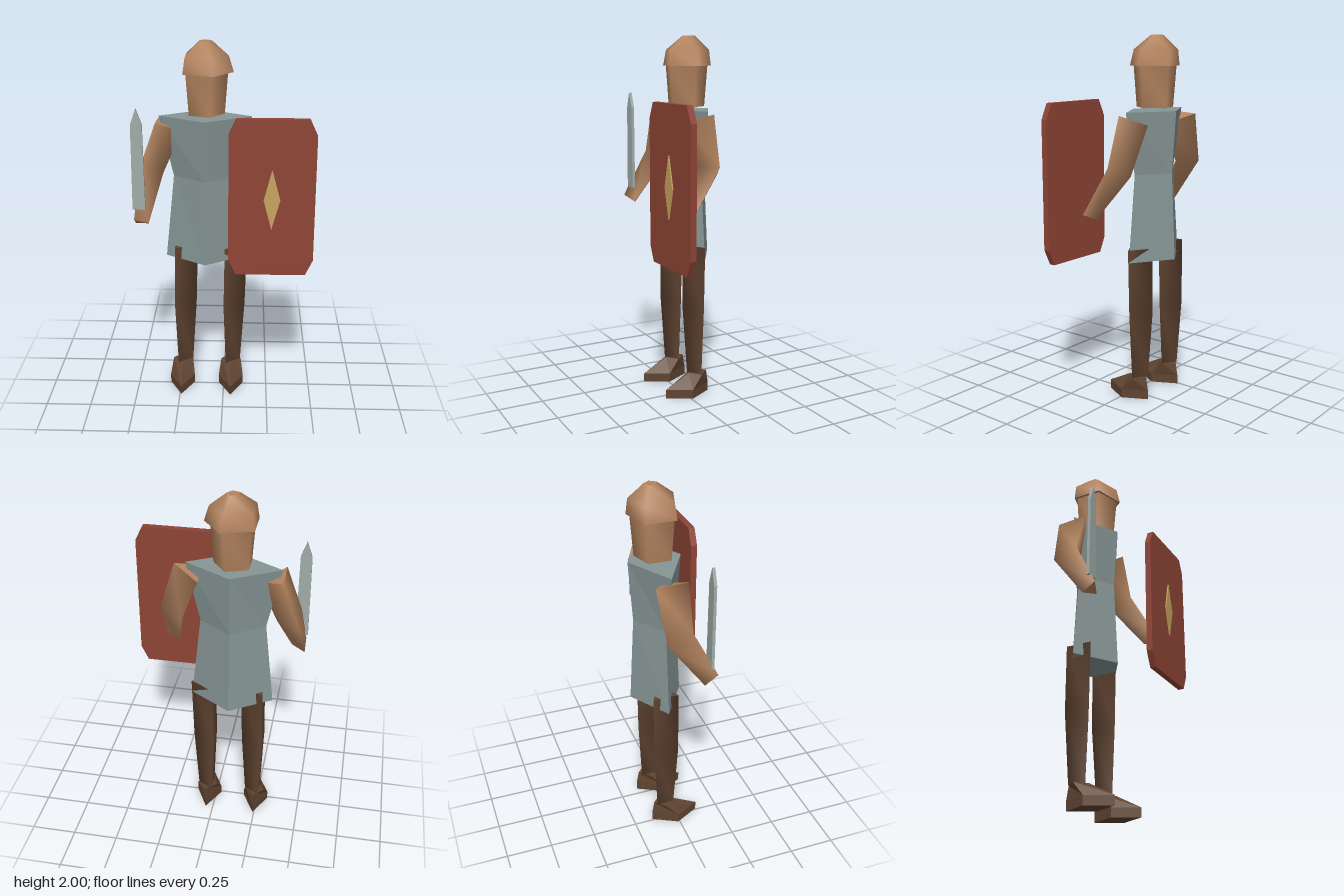
import * as THREE from 'three';

const mat = (name, color) => {
  const m = new THREE.MeshStandardMaterial({ color });
  m.name = name;
  return m;
};
const V = (x, y, z) => new THREE.Vector3(x, y, z);

// Closed solid through rings of points, listed from top to bottom
function loft(rings, flat) {
  const n = rings[0].length, last = rings.length - 1, pos = [], idx = [];
  rings.forEach(r => r.forEach(p => pos.push(p.x, p.y, p.z)));
  for (let j = 0; j < last; j++) {
    for (let i = 0; i < n; i++) {
      const k = (i + 1) % n, a = j * n + i, b = j * n + k;
      idx.push(a, b, a + n, b, b + n, a + n);
    }
  }
  // caps have their own corners so their edges stay sharp
  [0, last].forEach(j => {
    const start = pos.length / 3;
    rings[j].forEach(p => pos.push(p.x, p.y, p.z));
    for (let i = 1; i < n - 1; i++) {
      if (j === 0) idx.push(start, start + i + 1, start + i);
      else idx.push(start, start + i, start + i + 1);
    }
  });
  let g = new THREE.BufferGeometry();
  g.setAttribute('position', new THREE.Float32BufferAttribute(pos, 3));
  g.setIndex(idx);
  if (flat) g = g.toNonIndexed();
  g.computeVertexNormals();
  return g;
}

// Horizontal ring with its first corner towards +x
function ring(n, x, y, z, rx, rz = rx) {
  return Array.from({ length: n }, (_, i) => {
    const a = i * 2 * Math.PI / n;
    return V(x + rx * Math.cos(a), y, z + rz * Math.sin(a));
  });
}

// Three-sided limb whose rings lie square to its path
function limb(points, radii) {
  const rings = points.map((p, i) => {
    const before = points[Math.max(i - 1, 0)];
    const after = points[Math.min(i + 1, points.length - 1)];
    const d = after.clone().sub(before).normalize();
    const u = V(1, 0, 0).addScaledVector(d, -d.x).normalize();
    const v = d.clone().cross(u);
    return [0, 1, 2].map(k => {
      const a = k * 2 * Math.PI / 3;
      return p.clone()
        .addScaledVector(u, radii[i] * Math.cos(a))
        .addScaledVector(v, radii[i] * Math.sin(a));
    });
  });
  return loft(rings, false);
}

// Flat outline given thickness from z0 to z1
function plate(outline, z0, z1) {
  const shape = new THREE.Shape(outline.map(([x, y]) => new THREE.Vector2(x, y)));
  return new THREE.ExtrudeGeometry(shape, { depth: z1 - z0, bevelEnabled: false }).translate(0, 0, z0);
}

export function createModel() {
  const skin = mat('skin', 0xb58560);
  const cloth = mat('tunic grey', 0x869595);
  const brown = mat('dark brown', 0x604431);
  const red = mat('shield red', 0x8f4436);
  const gold = mat('gold', 0xc6a35e);
  const steel = mat('steel', 0xa0aca7);

  const model = new THREE.Group();
  model.name = 'soldier';
  const add = (name, geometry, material) => {
    const mesh = new THREE.Mesh(geometry, material);
    mesh.name = name;
    model.add(mesh);
  };
  const cx = -0.1, cz = -0.075;

  // Tunic with a narrow waist
  add('tunic', loft([
    ring(4, cx, 1.605, cz, 0.25, 0.142),
    ring(4, cx, 1.27, cz, 0.175, 0.118),
    ring(4, cx, 0.795, cz, 0.225, 0.142),
  ], true), cloth);

  // Head and helmet
  add('head', loft([
    ring(5, cx, 1.85, cz, 0.122),
    ring(5, cx, 1.62, cz, 0.104),
  ], false), skin);
  add('helmet', loft([
    ring(5, cx + 0.003, 2, -0.09, 0.035),
    ring(5, cx, 1.925, -0.08, 0.125),
    ring(5, cx + 0.005, 1.84, cz, 0.146, 0.137),
  ], false), skin);

  // Paired limbs: side +1 is the left, -1 the right
  for (const side of [1, -1]) {
    const name = side > 0 ? 'left' : 'right';
    const x = d => cx + side * d;
    add(name + 'Arm', limb(
      [V(x(0.217), 1.56, -0.075), V(x(0.31), 1.31, -0.06), V(x(0.35), 1.062, 0.1)],
      [0.098, 0.082, 0.05]), skin);
    const hip = x(0.139);
    add(name + 'Leg', loft([
      ring(3, hip + 0.008, 0.865, -0.073, 0.083),
      ring(3, hip, 0.5, -0.073, 0.08),
      ring(3, hip, 0.12, -0.073, 0.055),
    ], false), brown);
    const foot = x(0.142);
    add(name + 'Foot', loft([
      ring(4, foot, 0.125, -0.075, 0.057, 0.057),
      ring(4, foot, 0.05, -0.01, 0.071, 0.135),
      ring(4, foot, 0, -0.01, 0.071, 0.135),
    ], true), brown);
  }

  // Shield with clipped corners and a diamond emblem
  add('shield', plate([
    [0.07, 0.81], [0.44, 0.81], [0.48, 0.895], [0.48, 1.575],
    [0.44, 1.66], [0.07, 1.66], [0.03, 1.575], [0.03, 0.895],
  ], 0.175, 0.209), red);
  add('shieldEmblem', plate([[0.255, 1.07], [0.299, 1.235], [0.255, 1.4], [0.213, 1.235]], 0.209, 0.216), gold);

  // Sword blade
  add('sword', plate([
    [-0.484, 1.135], [-0.416, 1.135], [-0.42, 1.6], [-0.45, 1.685], [-0.48, 1.6],
  ], 0.09, 0.106), steel);

  return model;
}
